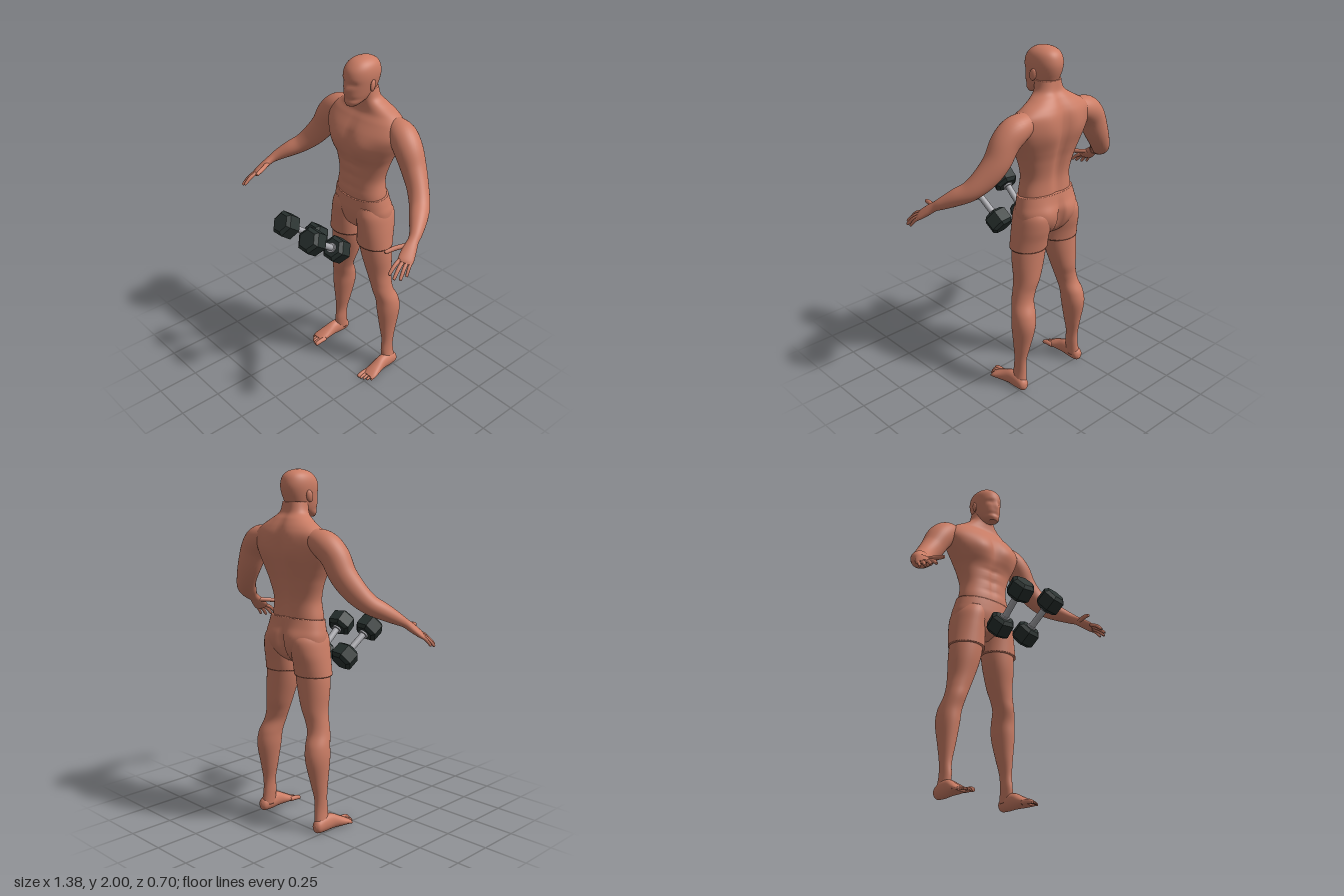
import * as THREE from 'three';

const skin = new THREE.MeshStandardMaterial({ color: 0xcb7d65 });
const iron = new THREE.MeshStandardMaterial({ color: 0x28312f });
const steel = new THREE.MeshStandardMaterial({ color: 0xa9a9ae });
skin.name = 'skin';
iron.name = 'dark iron';
steel.name = 'steel';

const V = (x, y, z) => new THREE.Vector3(x, y, z);
const bump = (d, width) => Math.exp(-(d * d) / (width * width));

// Catmull-Rom value at t through a list of stations
function stationAt(list, t) {
  const i = Math.min(Math.floor(t), list.length - 2), f = t - i;
  const at = k => list[Math.max(0, Math.min(list.length - 1, k))];
  const [a, b, c, d] = [at(i - 1), at(i), at(i + 1), at(i + 2)];
  return b.map((v, k) => v + 0.5 * f * (c[k] - a[k] + f * (2 * a[k] - 5 * v + 4 * c[k] - d[k]
    + f * (3 * (v - c[k]) + d[k] - a[k]))));
}

// Smooth skin over elliptical stations [x, y, z, halfWidth, halfDepth]
function sweep(list, { ref = V(1, 0, 0), axis = null, sides = 32, steps = 6, power = 1, shape = null } = {}) {
  const rings = (list.length - 1) * steps, pos = [], index = [];
  const centre = t => V(...stationAt(list, t).slice(0, 3));
  const push = p => { if (shape) shape(p); pos.push(p.x, p.y, p.z); };
  const soft = v => Math.sign(v) * Math.abs(v) ** power;
  for (let i = 0; i <= rings; i++) {
    const t = i / steps, s = stationAt(list, t);
    const T = axis || centre(Math.min(t + 0.1, list.length - 1)).sub(centre(Math.max(t - 0.1, 0))).normalize();
    const U = ref.clone().addScaledVector(T, -ref.dot(T)).normalize(), W = T.clone().cross(U);
    for (let j = 0; j < sides; j++) {
      const q = j / sides * Math.PI * 2;
      push(V(s[0], s[1], s[2])
        .addScaledVector(U, Math.max(s[3], 0.002) * soft(Math.cos(q)))
        .addScaledVector(W, Math.max(s[4], 0.002) * soft(Math.sin(q))));
      if (i < rings) {
        const a = i * sides + j, b = i * sides + (j + 1) % sides;
        index.push(a, b, b + sides, a, b + sides, a + sides);
      }
    }
  }
  // End caps
  const first = pos.length / 3, top = rings * sides;
  push(centre(0));
  push(centre(list.length - 1));
  for (let j = 0; j < sides; j++) {
    const k = (j + 1) % sides;
    index.push(first, k, j, first + 1, top + j, top + k);
  }
  const g = new THREE.BufferGeometry();
  g.setAttribute('position', new THREE.Float32BufferAttribute(pos, 3));
  g.setIndex(index);
  g.computeVertexNormals();
  return g;
}

// Tapered finger or toe through three points
function digit(a, b, c, r, shape) {
  const tip = c.map((v, i) => v + (v - b[i]) * 0.13);
  return sweep([[...a, r, r], [...b, r, r], [...c, r * 0.8, r * 0.8], [...tip, r * 0.3, r * 0.3]],
    { ref: V(1, 0.1, -0.3), sides: 12, steps: 4, shape });
}

export function createModel() {
  const root = new THREE.Group();
  root.name = 'athlete';
  const up = V(0, 1, 0);
  const add = (name, geometry, material = skin, parent = root) => {
    const m = new THREE.Mesh(geometry, material);
    m.name = name;
    parent.add(m);
    return m;
  };

  // Torso with chest, abdomen, shoulder blades and spine groove
  add('torso', sweep([
    [0, 1.12, -0.19, 0.165, 0.1], [0, 1.2, -0.185, 0.168, 0.103], [0, 1.3, -0.188, 0.156, 0.098],
    [0, 1.4, -0.195, 0.183, 0.108], [0, 1.47, -0.195, 0.215, 0.126], [0, 1.54, -0.2, 0.25, 0.136],
    [0, 1.6, -0.21, 0.268, 0.13], [0, 1.66, -0.228, 0.25, 0.11], [0, 1.7, -0.235, 0.2, 0.09],
    [0, 1.74, -0.225, 0.13, 0.076], [0, 1.775, -0.21, 0.085, 0.066], [0, 1.83, -0.2, 0.07, 0.066],
  ], {
    axis: up, sides: 64, steps: 8, power: 0.9,
    shape: p => {
      const x = Math.abs(p.x), y = p.y;
      if (p.z > -0.17) {
        p.z += 0.018 * bump(x - 0.1, 0.07) * bump(y - 1.52, 0.07);
        p.z -= 0.012 * bump(x, 0.025) * bump(y - 1.55, 0.1);
        p.z -= 0.008 * bump(x, 0.015) * bump(y - 1.32, 0.1);
        for (const row of [1.25, 1.32, 1.39]) p.z -= 0.005 * bump(y - row, 0.013) * bump(x, 0.08);
      } else if (p.z < -0.24) {
        p.z += 0.025 * bump(x, 0.03) * bump(y - 1.45, 0.27);
        p.z -= 0.014 * bump(x - 0.1, 0.06) * bump(y - 1.59, 0.09);
      }
    },
  }));

  // Head with a plain, faceless front
  add('head', sweep([
    [0, 1.745, -0.1, 0.03, 0.03], [0, 1.765, -0.116, 0.048, 0.054], [0, 1.8, -0.15, 0.064, 0.09],
    [0, 1.85, -0.165, 0.076, 0.105], [0, 1.9, -0.172, 0.083, 0.113], [0, 1.94, -0.175, 0.08, 0.107],
    [0, 1.97, -0.179, 0.067, 0.088], [0, 1.99, -0.18, 0.043, 0.058], [0, 2, -0.18, 0.012, 0.015],
  ], {
    axis: up, sides: 48, power: 0.93,
    shape: p => {
      if (p.z < -0.13) return;
      p.z += 0.01 * bump(p.x, 0.014) * bump(p.y - 1.84, 0.025);
      p.z -= 0.009 * bump(Math.abs(p.x) - 0.036, 0.022) * bump(p.y - 1.87, 0.016);
      p.z -= 0.005 * bump(p.y - 1.785, 0.012);
    },
  }));

  // Shorts: seat, with one leg on each side below
  add('shortsSeat', sweep([
    [0, 0.955, -0.2, 0.05, 0.05], [0, 0.99, -0.2, 0.14, 0.09], [0, 1.04, -0.203, 0.192, 0.112],
    [0, 1.1, -0.2, 0.2, 0.121], [0, 1.15, -0.193, 0.19, 0.116], [0, 1.2, -0.188, 0.178, 0.11],
  ], {
    axis: up, sides: 64, power: 0.92,
    shape: p => {
      if (p.z < -0.22) {
        p.z -= 0.014 * bump(Math.abs(p.x) - 0.09, 0.055) * bump(p.y - 1.08, 0.06);
        p.z += 0.035 * bump(p.x, 0.018) * bump(p.y - 1.05, 0.08);
      }
      p.y -= (p.z + 0.19) * 0.1 * Math.max(0, (p.y - 1) / 0.2);
    },
  }));

  for (const s of [1, -1]) {
    const side = s > 0 ? 'left' : 'right';
    const flip = list => list.map(([x, ...rest]) => [x * s, ...rest]);
    const point = ([x, y, z]) => [x * s, y, z];

    const ear = add(side + 'Ear', new THREE.SphereGeometry(1, 16, 12));
    ear.scale.set(0.011, 0.033, 0.02);
    ear.position.set(0.083 * s, 1.858, -0.175);
    ear.rotation.set(-0.2, 0.3 * s, 0);

    add(side + 'ShortsLeg', sweep(flip([
      [0.118, 0.888, -0.185, 0.112, 0.1], [0.115, 0.95, -0.19, 0.107, 0.107],
      [0.11, 1.02, -0.197, 0.102, 0.117], [0.1, 1.09, -0.198, 0.098, 0.12], [0.09, 1.14, -0.19, 0.085, 0.1],
    ]), { axis: up, sides: 40 }));

    add(side + 'Leg', sweep(flip([
      [0.225, 0.04, -0.23, 0.034, 0.045], [0.217, 0.12, -0.222, 0.03, 0.044], [0.215, 0.2, -0.225, 0.032, 0.041],
      [0.208, 0.3, -0.23, 0.047, 0.056], [0.202, 0.42, -0.235, 0.064, 0.075], [0.195, 0.5, -0.228, 0.066, 0.073],
      [0.18, 0.57, -0.205, 0.063, 0.066], [0.163, 0.63, -0.2, 0.068, 0.066], [0.145, 0.7, -0.2, 0.077, 0.076],
      [0.13, 0.8, -0.193, 0.094, 0.087], [0.12, 0.88, -0.19, 0.1, 0.092], [0.11, 0.96, -0.19, 0.095, 0.095],
    ]), { axis: up, sides: 36 }));

    // Foot flattened on the ground, and its toes
    const ground = p => { p.y = Math.max(p.y, 0); };
    add(side + 'Foot', sweep(flip([
      [0.228, 0.035, -0.285, 0.012, 0.015], [0.228, 0.038, -0.268, 0.03, 0.036], [0.228, 0.045, -0.22, 0.036, 0.048],
      [0.231, 0.045, -0.16, 0.036, 0.046], [0.237, 0.03, -0.1, 0.043, 0.032], [0.241, 0.02, -0.06, 0.046, 0.021],
      [0.241, 0.014, -0.035, 0.04, 0.013],
    ]), { axis: V(0, 0, 1), shape: ground }));
    for (let i = 0; i < 5; i++) {
      const x = 0.204 + i * 0.0185, z = 0.006 - i * i * 0.0025, r = i ? 0.0095 - i * 0.0005 : 0.014;
      add(side + 'Toe', digit(point([x, 0.019, -0.07]), point([x, 0.016, z - 0.025]), point([x, 0.009, z]), r, ground));
    }

    // Arm running into the palm
    const across = V(0.6 * s, -0.1, -0.7);
    add(side + 'Arm', sweep(flip([
      [0.16, 1.64, -0.245, 0.055, 0.055], [0.25, 1.617, -0.235, 0.078, 0.076], [0.315, 1.56, -0.222, 0.08, 0.078],
      [0.37, 1.465, -0.215, 0.07, 0.073], [0.43, 1.385, -0.19, 0.06, 0.066], [0.49, 1.32, -0.147, 0.056, 0.054],
      [0.54, 1.28, -0.09, 0.05, 0.046], [0.585, 1.24, -0.03, 0.036, 0.033], [0.605, 1.215, 0.01, 0.03, 0.024],
      [0.62, 1.185, 0.05, 0.038, 0.022], [0.638, 1.152, 0.092, 0.042, 0.017], [0.645, 1.138, 0.11, 0.035, 0.011],
    ]), { ref: across, sides: 36 }));

    // Four spread fingers and a thumb
    [[0.625, 1.1, 0.195], [0.655, 1.087, 0.19], [0.676, 1.083, 0.165], [0.683, 1.09, 0.128]].forEach((tip, i) => {
      const k = (i - 1.5) * 0.021;
      const base = [0.638 + 0.65 * k, 1.15 - 0.1 * k, 0.092 - 0.75 * k];
      const knuckle = base.map((v, n) => v * 0.45 + tip[n] * 0.55 + (n === 1 ? 0.008 : 0));
      add(side + 'Finger', digit(point(base), point(knuckle), point(tip), i === 3 ? 0.009 : 0.0105));
    });
    add(side + 'Thumb', digit(point([0.6, 1.2, 0.035]), point([0.568, 1.192, 0.105]), point([0.553, 1.182, 0.155]), 0.013));

    // Hexagonal dumbbell floating in front
    const low = V(0.096 * s, 0.942, 0.09), high = V(0.113 * s, 1.085, 0.28);
    const bell = new THREE.Group();
    bell.name = side + 'Dumbbell';
    bell.position.copy(low).add(high).multiplyScalar(0.5);
    bell.quaternion.setFromUnitVectors(up, high.clone().sub(low).normalize());
    root.add(bell);
    add('handle', new THREE.CylinderGeometry(0.019, 0.019, 0.2, 24), steel, bell);
    const profile = [[0, -0.053], [0.055, -0.053], [0.076, -0.036], [0.076, 0.036], [0.055, 0.053], [0, 0.053]];
    for (const e of [1, -1]) {
      const hex = new THREE.LatheGeometry(profile.map(p => new THREE.Vector2(...p)), 6).rotateY(Math.PI / 2).toNonIndexed();
      hex.computeVertexNormals();
      add('weight', hex, iron, bell).position.y = 0.12 * e;
      add('collar', new THREE.CylinderGeometry(0.029, 0.029, 0.014, 24), steel, bell).position.y = 0.064 * e;
    }
  }
  return root;
}
